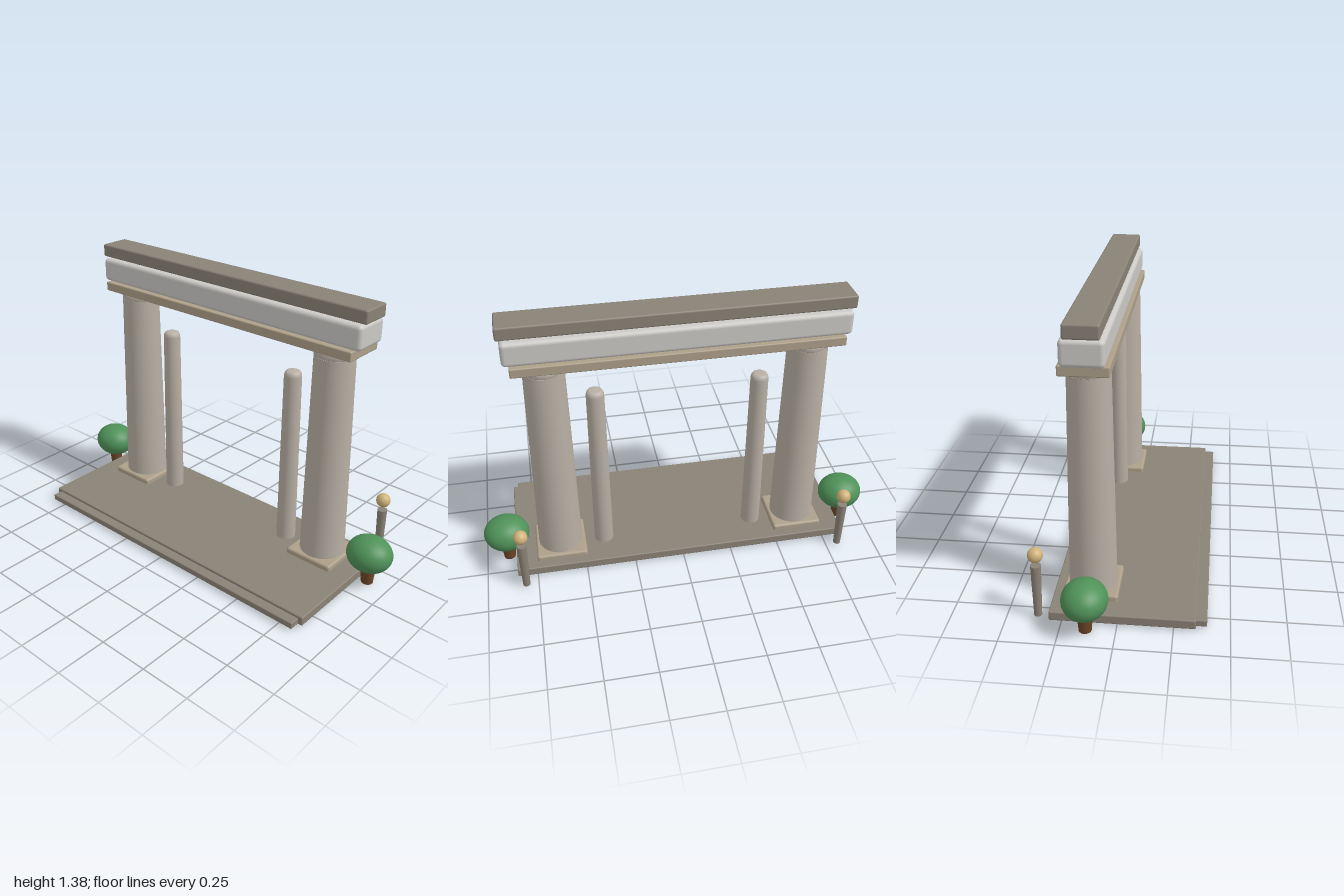
import * as THREE from 'three';
import { RoundedBoxGeometry } from 'three/addons/geometries/RoundedBoxGeometry.js';

const mat = (color) => new THREE.MeshStandardMaterial({ color });
const darkStone = mat(0x8a8276);
const paleStone = mat(0xb8afa4);
const sandStone = mat(0xada08a);
const white = mat(0xcccac6);
const paving = mat(0x8a7a55);
const gold = mat(0xd0b27c);
const leaf = mat(0x4f9158);
const bark = mat(0x6b4526);

const GATE_Z = -0.135; // centre line of the gate

export function createModel() {
  const model = new THREE.Group();
  model.name = 'gateway';

  const add = (name, geometry, material, x = 0, y = 0, z = 0) => {
    const mesh = new THREE.Mesh(geometry, material);
    mesh.name = name;
    mesh.position.set(x, y, z);
    model.add(mesh);
    return mesh;
  };
  // Rounded block given by its half width, y range and z range
  const block = (name, material, halfX, y0, y1, z0, z1, r, x = 0) =>
    add(name, new RoundedBoxGeometry(halfX * 2, y1 - y0, z1 - z0, 3, r),
      material, x, (y0 + y1) / 2, (z0 + z1) / 2);
  // Round post between two heights
  const post = (name, material, rTop, rBottom, y0, y1, x, z) =>
    add(name, new THREE.CylinderGeometry(rTop, rBottom, y1 - y0, 32), material, x, (y0 + y1) / 2, z);

  // Platform, front step and paving set into the underside
  block('platform', darkStone, 0.848, 0.008, 0.053, -0.306, 0.348, 0.006);
  block('frontStep', darkStone, 0.825, 0.008, 0.04, 0.3, 0.397, 0.005);
  add('pavingInset', new THREE.BoxGeometry(0.74, 0.03, 0.17), paving, 0, 0.022, GATE_Z);

  // Entablature
  block('architrave', sandStone, 0.765, 1.143, 1.19, -0.244, -0.027, 0.006);
  block('frieze', white, 0.795, 1.19, 1.308, -0.231, -0.042, 0.02);
  block('cornice', darkStone, 0.81, 1.314, 1.378, -0.211, -0.058, 0.009);

  // Thin column with a softly rounded top
  const thinProfile = [
    [0, 0.005], [0.049, 0.005], [0.043, 0.945], [0.041, 0.957], [0.035, 0.967], [0.025, 0.971], [0, 0.972],
  ].map(([r, y]) => new THREE.Vector2(r, y));

  for (const [side, s] of [['left', 1], ['right', -1]]) {
    // Main column
    const x = 0.618 * s;
    block(side + 'Plinth', sandStone, 0.127, 0.02, 0.081, GATE_Z - 0.127, GATE_Z + 0.127, 0.012, x);
    post(side + 'Column', paleStone, 0.096, 0.111, 0.075, 1.113, x, GATE_Z);
    const ring = [[0, 1.11], [0.09, 1.11], [0.097, 1.115], [0.097, 1.136], [0.09, 1.144], [0, 1.144]];
    add(side + 'Neck', new THREE.LatheGeometry(ring.map(([r, y]) => new THREE.Vector2(r, y)), 32),
      paleStone, x, 0, GATE_Z);

    // Inner column
    add(side + 'ThinColumn', new THREE.LatheGeometry(thinProfile, 32), paleStone, 0.394 * s, 0, GATE_Z);

    // Lamp behind the platform
    post(side + 'LampPost', darkStone, 0.024, 0.018, 0.008, 0.27, 0.81 * s, -0.36);
    add(side + 'LampGlobe', new THREE.SphereGeometry(0.035, 24, 16), gold, 0.81 * s, 0.323, -0.36);

    // Shrub beside the platform
    post(side + 'ShrubTrunk', bark, 0.037, 0.029, 0, 0.1, 0.886 * s, GATE_Z);
    add(side + 'ShrubCrown', new THREE.SphereGeometry(1, 32, 24), leaf, 0.886 * s, 0.162, GATE_Z)
      .scale.set(0.114, 0.088, 0.104);
  }
  return model;
}
